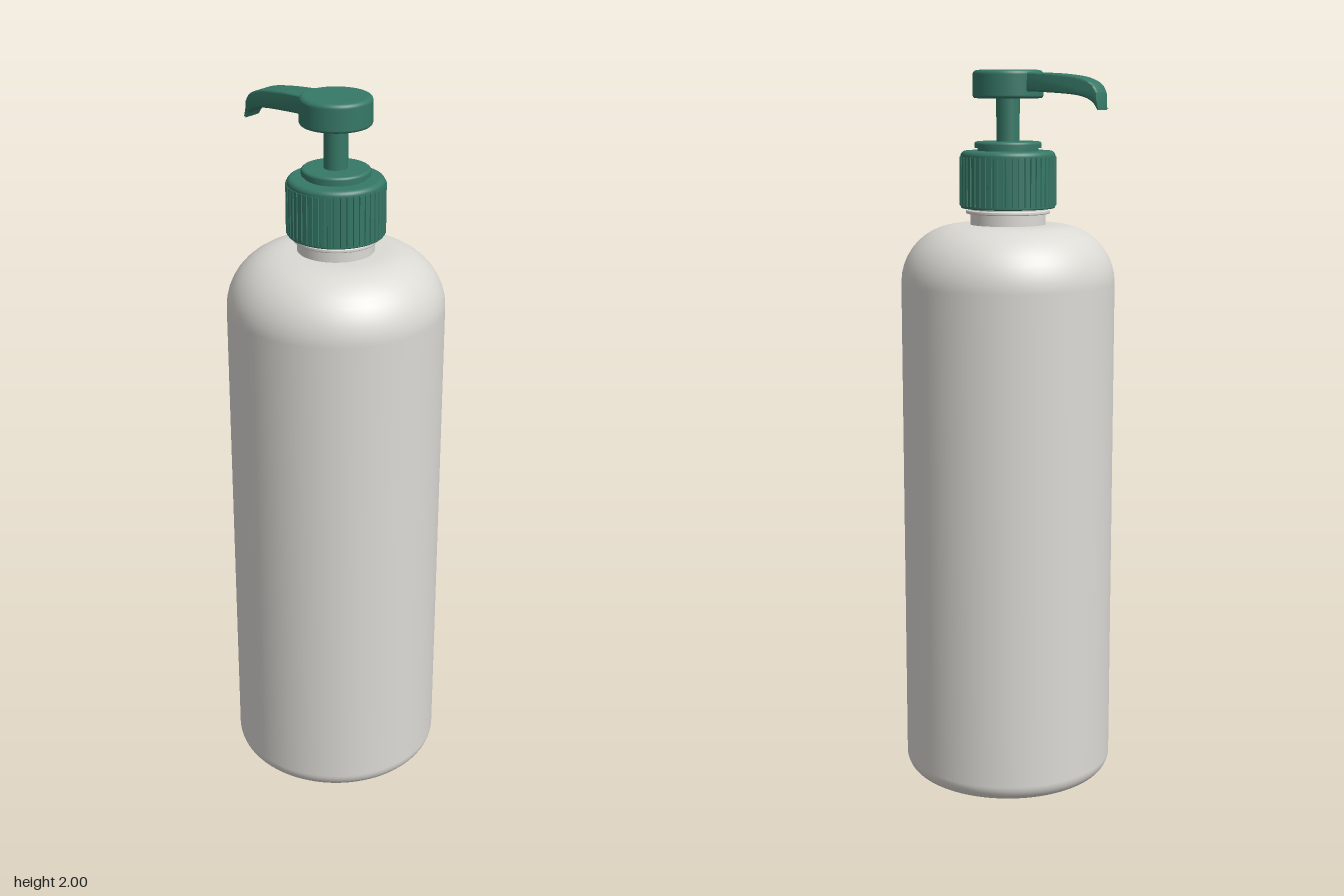
import * as THREE from 'three';
import { toCreasedNormals } from 'three/addons/utils/BufferGeometryUtils.js';

const bottleMat = new THREE.MeshStandardMaterial({ name: 'warm white plastic', color: 0xdcdad5 });
const pumpMat = new THREE.MeshStandardMaterial({ name: 'green plastic', color: 0x367866 });

// Profile from corners [radius, y, rounding]; doubled points keep unrounded corners sharp
function profile(corners) {
  const pts = [];
  corners.forEach(([r, y, round = 0], i) => {
    const p = new THREE.Vector2(r, y);
    if (i === 0 || i === corners.length - 1) { pts.push(p); return; }
    if (!round) { pts.push(p, p.clone()); return; }
    const toward = (c, d) => p.clone().add(new THREE.Vector2(c[0], c[1]).sub(p).setLength(d));
    const prev = corners[i - 1], next = corners[i + 1];
    const curve = new THREE.CubicBezierCurve(
      toward(prev, round), toward(prev, round * 0.45), toward(next, round * 0.45), toward(next, round));
    pts.push(...curve.getPoints(10));
  });
  return pts;
}

function turned(name, corners, mat, segments = 64) {
  const mesh = new THREE.Mesh(new THREE.LatheGeometry(profile(corners), segments), mat);
  mesh.name = name;
  return mesh;
}

// Screw collar with fine grip grooves around its side
function makeCollar() {
  const group = new THREE.Group();
  group.name = 'collar';
  group.add(turned('collarShell', [
    [0.1, 1.64], [0.1, 1.63], [0.13, 1.63, 0.004], [0.13, 1.785, 0.014], [0, 1.785],
  ], pumpMat));
  const ribs = 48, outline = new THREE.Shape();
  for (let i = 0; i < ribs; i++) {
    [[0, 0.133], [0.6, 0.133], [0.7, 0.1295], [0.9, 0.1295]].forEach(([f, r]) => {
      const a = ((i + f) / ribs) * Math.PI * 2;
      outline[i + f === 0 ? 'moveTo' : 'lineTo'](r * Math.cos(a), r * Math.sin(a));
    });
  }
  outline.closePath();
  outline.holes.push(new THREE.Path().absarc(0, 0, 0.12, 0, Math.PI * 2, true));
  const geo = new THREE.ExtrudeGeometry(outline, { depth: 0.132, bevelEnabled: false, curveSegments: 24 });
  geo.rotateX(-Math.PI / 2).translate(0, 1.637, 0);
  const grip = new THREE.Mesh(geo, pumpMat);
  grip.name = 'collarRibs';
  group.add(grip);
  return group;
}

// Spout: curved side outline, narrowed towards its drooping tip
function makeSpout() {
  const v = (x, y) => new THREE.Vector2(x, y);
  const s = new THREE.Shape();
  s.moveTo(-0.06, 1.94);
  s.lineTo(-0.06, 1.993);
  s.lineTo(-0.1, 1.993);
  s.splineThru([v(-0.17, 1.989), v(-0.235, 1.98), v(-0.275, 1.963), v(-0.291, 1.94)]);
  s.lineTo(-0.292, 1.895);
  s.splineThru([v(-0.277, 1.915), v(-0.25, 1.929), v(-0.2, 1.937), v(-0.1, 1.943)]);
  s.closePath();
  const geo = new THREE.ExtrudeGeometry(s, {
    depth: 0.076, bevelThickness: 0.006, bevelSize: 0.005, bevelOffset: -0.005, bevelSegments: 3, curveSegments: 6,
  });
  geo.translate(0, 0, -0.038);
  const p = geo.attributes.position;
  for (let i = 0; i < p.count; i++) {
    const t = THREE.MathUtils.clamp((-0.08 - p.getX(i)) / 0.21, 0, 1);
    p.setZ(i, p.getZ(i) * (1 - 0.35 * t));
  }
  const mesh = new THREE.Mesh(toCreasedNormals(geo, 0.6), pumpMat);
  mesh.name = 'spout';
  return mesh;
}

export function createModel() {
  const model = new THREE.Group();
  model.name = 'pumpBottle';

  // Bottle with rounded base and shoulder, and a beaded neck
  model.add(turned('bottleBody', [
    [0, 0], [0.296, 0, 0.05], [0.296, 1.585, 0.16], [0.1, 1.585],
  ], bottleMat, 96));
  model.add(turned('neck', [
    [0.104, 1.575], [0.104, 1.615], [0.116, 1.615, 0.003], [0.116, 1.625, 0.003], [0.104, 1.625], [0.104, 1.65],
  ], bottleMat));

  // Pump
  model.add(makeCollar());
  model.add(turned('lockingRing', [
    [0.084, 1.78], [0.084, 1.793], [0.092, 1.793], [0.092, 1.81, 0.008], [0, 1.81],
  ], pumpMat));
  model.add(turned('stem', [[0.032, 1.8], [0.032, 1.935]], pumpMat, 32));
  model.add(turned('pumpHead', [
    [0, 1.925], [0.096, 1.925, 0.008], [0.096, 2, 0.012], [0, 2],
  ], pumpMat));
  model.add(makeSpout());
  return model;
}
